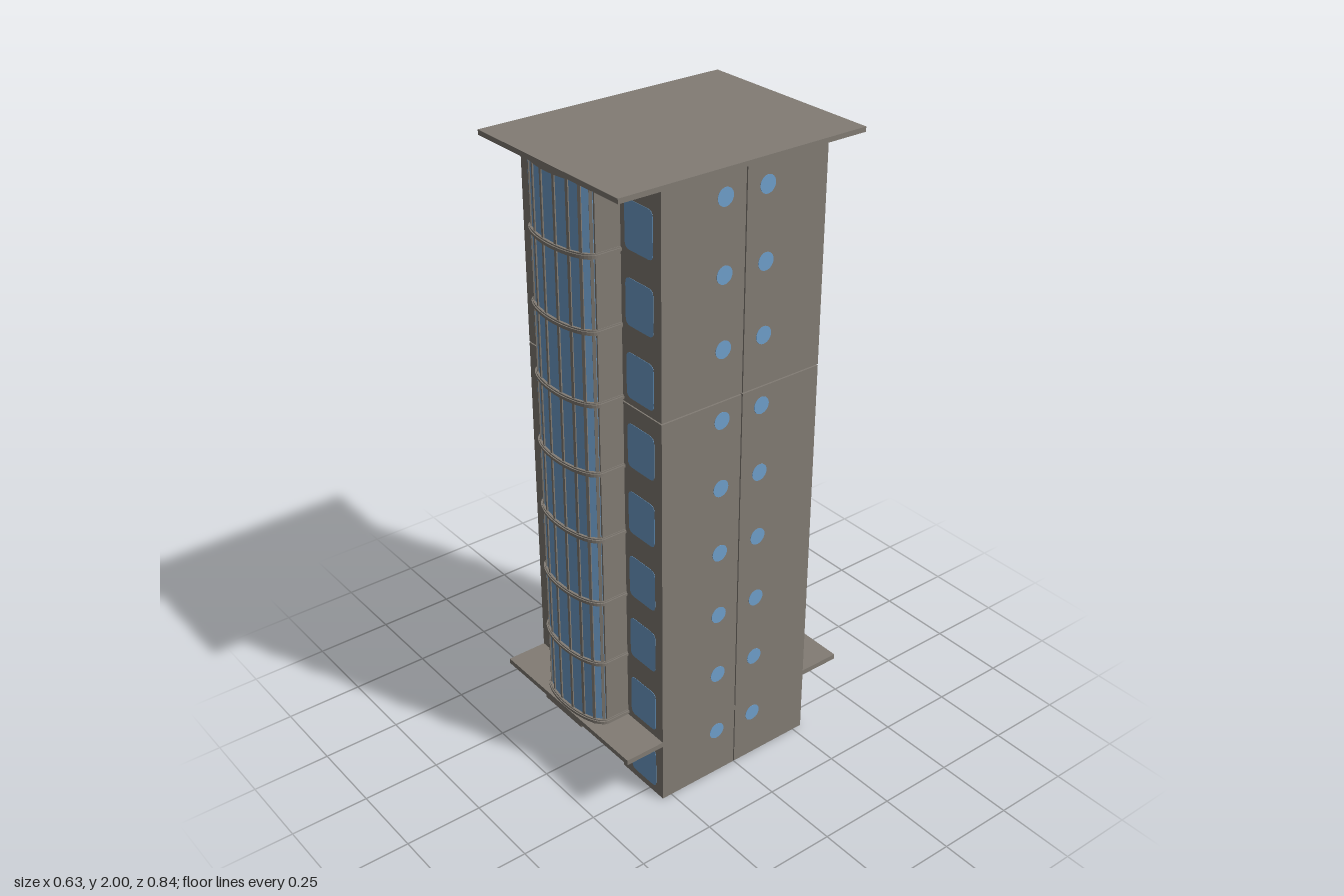
import * as THREE from 'three';

const concrete = new THREE.MeshStandardMaterial({ color: 0x827c74 });
concrete.name = 'concrete grey';
const glass = new THREE.MeshStandardMaterial({ color: 0x6f9fcb });
glass.name = 'window blue';

const W = 0.315, D = 0.283;          // half width and half depth of the tower
const FLOOR = 0.22, STOREYS = 9;     // storey pitch and count, ground floor included
const SLAB_TOP = 0.222, ROOF_BASE = 1.985;
const WALL = 0.0075, PANE = 0.0095, SEAM = 0.002;
const LEG_IN = 0.115, LEG_TOP = 0.206;

function add(parent, name, geometry, material, x = 0, y = 0, z = 0) {
  const mesh = new THREE.Mesh(geometry, material);
  mesh.name = name;
  mesh.position.set(x, y, z);
  parent.add(mesh);
  return mesh;
}

// Box given by its limits
function block(parent, name, x0, x1, y0, y1, z0, z1, material = concrete) {
  return add(parent, name, new THREE.BoxGeometry(x1 - x0, y1 - y0, z1 - z0), material,
    (x0 + x1) / 2, (y0 + y1) / 2, (z0 + z1) / 2);
}

// Rounded rectangular pane, centred on its own thickness
function paneGeometry(w, h, r) {
  const s = new THREE.Shape();
  const a = w / 2, b = h / 2;
  s.moveTo(-a + r, -b);
  s.lineTo(a - r, -b);
  s.quadraticCurveTo(a, -b, a, -b + r);
  s.lineTo(a, b - r);
  s.quadraticCurveTo(a, b, a - r, b);
  s.lineTo(-a + r, b);
  s.quadraticCurveTo(-a, b, -a, b - r);
  s.lineTo(-a, -b + r);
  s.quadraticCurveTo(-a, -b, -a + r, -b);
  return new THREE.ExtrudeGeometry(s, { depth: PANE, bevelEnabled: false, curveSegments: 4 })
    .translate(0, 0, -PANE / 2);
}

// Plan outline of the bay: straight cheeks with a shallow elliptical nose
const BAY_X = 0.138, BAY_Z = 0.36, BAY_NOSE = 0.05;
const BAY_ANGLES = [-90, -78, -55, -34, -12, 12, 34, 55, 78, 90].map(THREE.MathUtils.degToRad);
const bayPoint = (t, grow = 0) => new THREE.Vector2(
  (BAY_X + grow) * Math.sin(t), BAY_Z + (BAY_NOSE + grow) * Math.cos(t));

function baySolid(angles, grow, y0, y1) {
  const pts = [new THREE.Vector2(BAY_X + grow, D - 0.01), ...angles.map(t => bayPoint(t, grow)).reverse(),
    new THREE.Vector2(-BAY_X - grow, D - 0.01)];
  return new THREE.ExtrudeGeometry(new THREE.Shape(pts), { depth: y1 - y0, bevelEnabled: false })
    .rotateX(Math.PI / 2).translate(0, y1, 0);
}

function makeBay() {
  const bay = new THREE.Group();
  bay.name = 'bay window';
  add(bay, 'bay glazing', baySolid(BAY_ANGLES, 0, SLAB_TOP, ROOF_BASE), glass);
  const height = ROOF_BASE - SLAB_TOP, mid = (ROOF_BASE + SLAB_TOP) / 2;
  // Solid side cheeks
  for (const s of [-1, 1]) {
    add(bay, 'bay cheek', new THREE.BoxGeometry(0.01, height, BAY_Z + 0.004 - D), concrete,
      s * BAY_X, mid, (D + BAY_Z + 0.004) / 2);
  }
  // Mullions at the facet edges
  for (const t of BAY_ANGLES.slice(1, -1)) {
    const p = bayPoint(t);
    const bar = add(bay, 'mullion', new THREE.BoxGeometry(0.009, height, 0.007), concrete, p.x, mid, p.y);
    bar.rotation.y = Math.atan2(Math.sin(t) * BAY_NOSE, Math.cos(t) * BAY_X);
  }
  // Rounded bands between storeys: a wider core over narrower lips
  const smooth = Array.from({ length: 25 }, (_, i) => (-0.5 + i / 24) * Math.PI);
  for (let i = 0; i < STOREYS - 1; i++) {
    const y = 0.234 + FLOOR * i;
    add(bay, 'bay band', baySolid(smooth, 0.0105, y - 0.004, y + 0.004), concrete);
    add(bay, 'bay band lip', baySolid(smooth, 0.007, y - 0.008, y + 0.008), concrete);
  }
  add(bay, 'bay head band', baySolid(smooth, 0.006, ROOF_BASE - 0.008, ROOF_BASE), concrete);
  return bay;
}

export function createModel() {
  const tower = new THREE.Group();
  tower.name = 'tower block';

  // Roof and podium slabs
  block(tower, 'roof slab', -W, W, ROOF_BASE, 2, -0.42, 0.416);
  block(tower, 'podium slab', -W, W, 0.205, SLAB_TOP, -0.42, 0.416);

  const square = paneGeometry(0.12, 0.14, 0.02);
  const round = new THREE.CylinderGeometry(0.027, 0.027, PANE, 24).rotateZ(Math.PI / 2);

  // Front and back halves are the same, turned half way round
  for (const turn of [0, Math.PI]) {
    const half = new THREE.Group();
    half.name = turn ? 'back half' : 'front half';
    half.rotation.y = turn;
    tower.add(half);

    // Upper storeys, with narrow seams
    block(half, 'lower storeys', -W, W, SLAB_TOP, 1.321 - SEAM, SEAM, D);
    block(half, 'upper storeys', -W, W, 1.321 + SEAM, ROOF_BASE, SEAM, D);
    half.add(makeBay());

    for (const s of [-1, 1]) {
      // Hollow legs, open underneath
      const inner = s * LEG_IN, outer = s * W;
      block(half, 'leg end wall', Math.min(inner, outer), Math.max(inner, outer), 0, LEG_TOP, D - WALL, D);
      for (const x of [inner + s * WALL / 2, outer - s * WALL / 2]) {
        block(half, 'leg side wall', x - WALL / 2, x + WALL / 2, 0, LEG_TOP, SEAM, D - WALL);
        add(half, 'leg porthole', round, glass, x, 0.16, 0.072);
      }
      // Windows on every storey
      for (let i = 0; i < STOREYS; i++) {
        add(half, 'window', square, glass, s * 0.222, 0.094 + FLOOR * i, D - WALL / 2);
        if (i > 0) add(half, 'porthole', round, glass, s * (W - WALL / 2), 0.16 + FLOOR * i, 0.072);
      }
    }
  }
  return tower;
}
